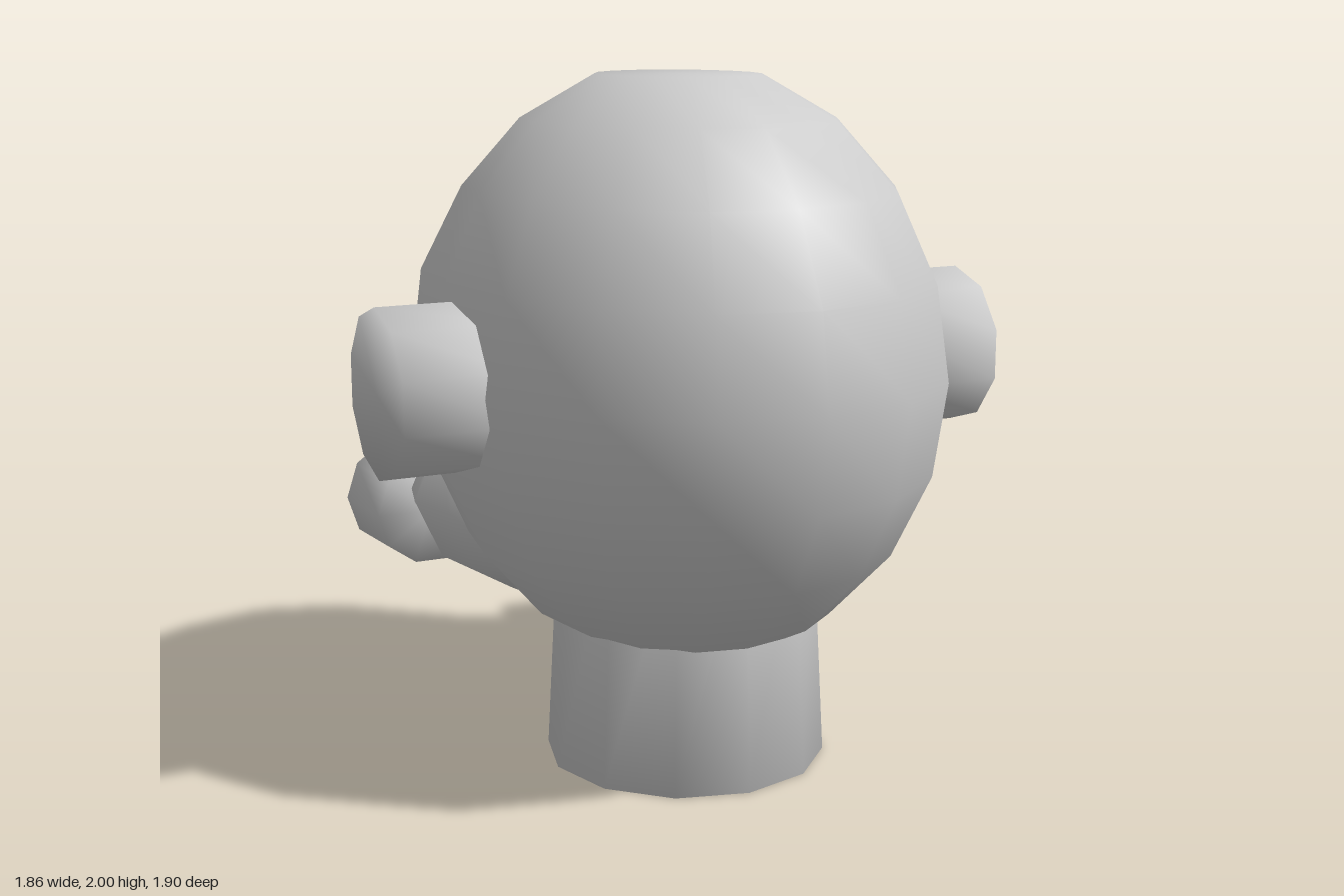
import * as THREE from 'three';
import { mergeVertices } from 'three/addons/utils/BufferGeometryUtils.js';

// Weld every seam so the whole surface shares smooth normals
function smooth(geometry) {
  geometry.deleteAttribute('uv');
  geometry.deleteAttribute('normal');
  const welded = mergeVertices(geometry, 1e-4);
  welded.computeVertexNormals();
  return welded;
}

// Ellipsoid with flat poles; shape(v) may push single vertices afterwards
function ellipsoid(radii, sides, rings, shape = () => {}) {
  const geometry = new THREE.SphereGeometry(1, sides, rings);
  const pos = geometry.attributes.position;
  const flat = Math.cos(Math.PI / rings);
  const v = new THREE.Vector3();
  for (let i = 0; i < pos.count; i++) {
    v.fromBufferAttribute(pos, i);
    v.y = THREE.MathUtils.clamp(v.y, -flat, flat);
    v.multiply(radii);
    shape(v);
    pos.setXYZ(i, v.x, v.y, v.z);
  }
  return smooth(geometry);
}

export function createModel() {
  const group = new THREE.Group();
  const grey = new THREE.MeshStandardMaterial({ color: 0xcccccc });
  grey.name = 'light grey';

  const add = (name, geometry, x, y, z) => {
    const mesh = new THREE.Mesh(geometry, grey);
    mesh.name = name;
    mesh.position.set(x, y, z);
    group.add(mesh);
    return mesh;
  };

  // Head, drawn out to a blunt point at the back
  const head = ellipsoid(new THREE.Vector3(0.75, 0.875, 0.875), 16, 10, (v) => {
    if (v.z >= -0.01 || v.y < -0.1 || v.y > 0.4) return;
    const upper = v.y > 0.1;
    v.z *= upper ? 1.12 : 1.08;
    if (!upper && Math.abs(v.x) < 0.01) v.z -= 0.08;
  });
  add('head', head, 0, 1.168, 0.075);

  // Tapered neck
  add('neck', smooth(new THREE.CylinderGeometry(0.375, 0.415, 0.75, 12)), 0, 0.375, 0.125);

  // Wide pod low on the back of the head
  add('rearPod', ellipsoid(new THREE.Vector3(0.635, 0.37, 0.46), 16, 6), 0, 0.69, -0.47);

  // Side discs and rear pegs, mirrored
  const disc = smooth(new THREE.CylinderGeometry(0.24, 0.24, 0.33, 10).rotateY(Math.PI / 2).rotateZ(Math.PI / 2));
  disc.computeBoundingBox();
  // turn a corner of the disc to the top
  if (disc.boundingBox.max.y < 0.235) disc.rotateX(Math.PI / 10);
  const peg = smooth(new THREE.CylinderGeometry(0.172, 0.19, 0.275, 10).rotateY(Math.PI / 2).rotateX(Math.PI / 2));
  for (const side of [1, -1]) {
    const label = side > 0 ? 'left' : 'right';
    add(label + 'Ear', disc, side * 0.765, 1.16, 0.12);
    add(label + 'RearPeg', peg, side * 0.53, 0.61, -0.767);
  }
  return group;
}
